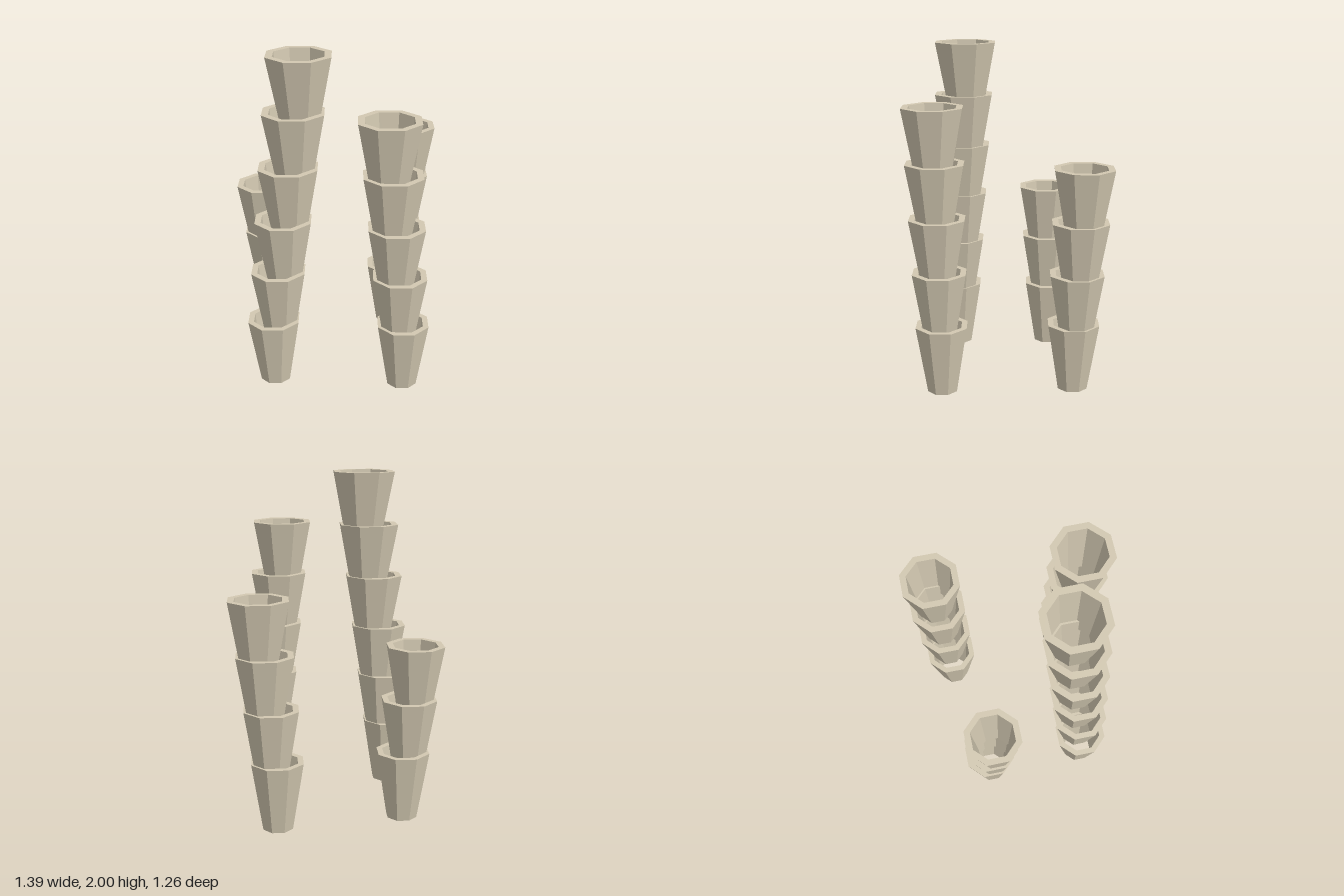
import * as THREE from 'three';

export function createModel() {
  const model = new THREE.Group();
  const clay = new THREE.MeshStandardMaterial({ color: 0xd2c8b1, flatShading: true });
  clay.name = 'paleClay';

  // Open octagonal cup: outer wall, flat rim, inner wall down to the open foot
  const HEIGHT = 0.41, STEP = 0.318;
  const profile = [[0.093, 0], [0.161, HEIGHT], [0.126, HEIGHT], [0.092, 0]]
    .map(([r, y]) => new THREE.Vector2(r, y));
  const cupGeometry = new THREE.LatheGeometry(profile, 8);

  // Leaning stacks of nested cups, each cup slightly wider than the one below
  const stacks = [
    { name: 'tallStack', count: 6, x: -0.533, z: 0.1, lean: 0.0384 },
    { name: 'frontStack', count: 5, x: 0.155, z: 0.443, lean: -0.0265 },
    { name: 'leftStack', count: 4, x: 0.41, z: -0.289, lean: 0.0342 },
    { name: 'backStack', count: 3, x: -0.32, z: -0.461, lean: -0.035 },
  ];
  for (const { name, count, x, z, lean } of stacks) {
    const stack = new THREE.Group();
    stack.name = name;
    stack.position.set(x, 0, z);
    for (let i = 0; i < count; i++) {
      const cup = new THREE.Mesh(cupGeometry, clay);
      cup.name = `cup${i + 1}`;
      const widen = 1 + 0.04 * i;
      cup.scale.set(widen, 1, widen);
      cup.position.set(lean * i, STEP * i, 0);
      stack.add(cup);
    }
    model.add(stack);
  }
  return model;
}
